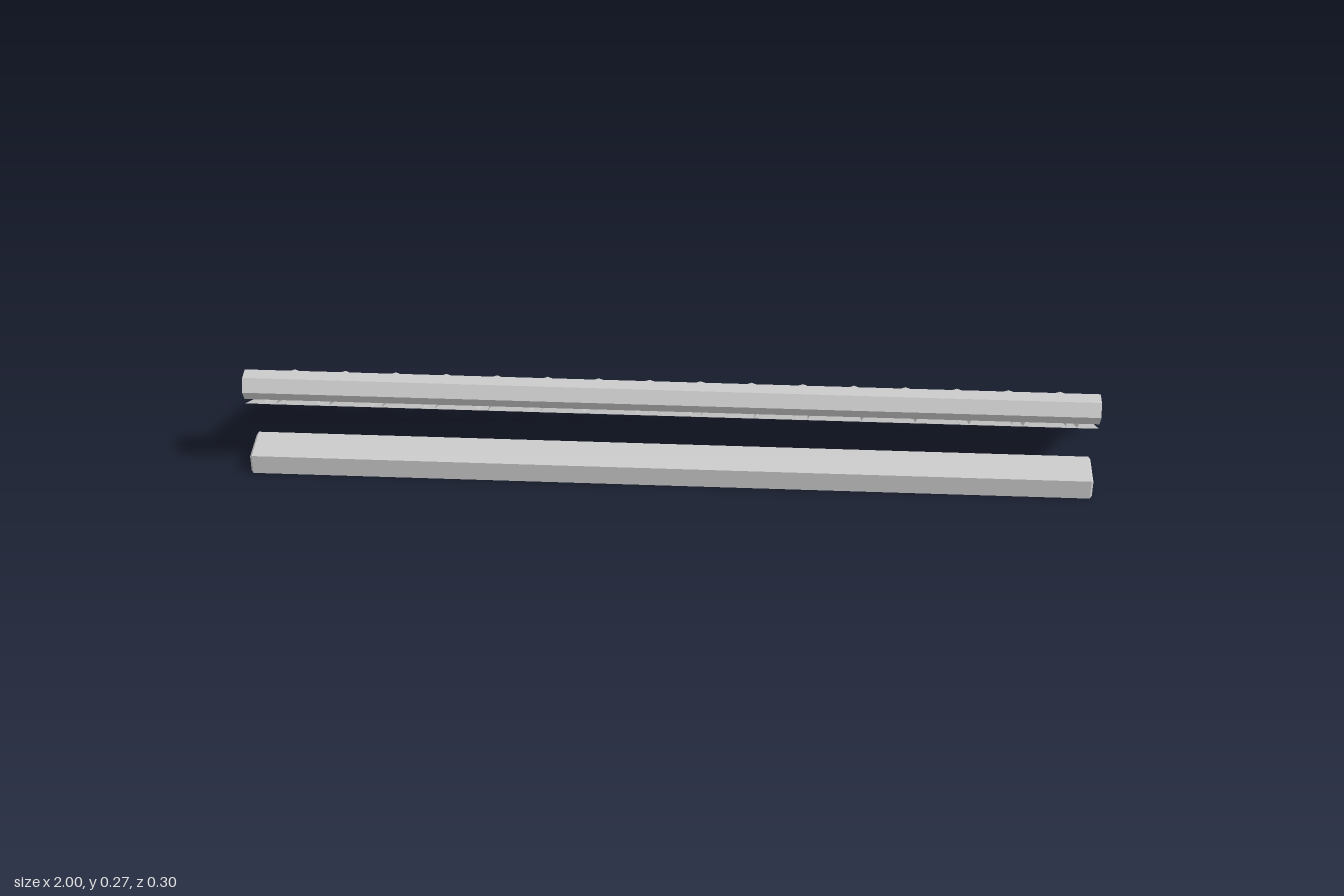
import * as THREE from 'three';

const solid = new THREE.MeshStandardMaterial({ color: 0xcccccc, flatShading: true });
const open = new THREE.MeshStandardMaterial({ color: 0xcccccc, flatShading: true, side: THREE.DoubleSide });

function add(parent, name, geometry, material, x, y, z) {
  const mesh = new THREE.Mesh(geometry, material);
  mesh.name = name;
  mesh.position.set(x, y, z);
  parent.add(mesh);
  return mesh;
}

// Box running along x with chamfered edges
function chamferedBeam(length, height, depth, c) {
  const w = depth / 2 - c, h = height / 2 - c;
  const shape = new THREE.Shape([
    new THREE.Vector2(-w, -h), new THREE.Vector2(w, -h),
    new THREE.Vector2(w, h), new THREE.Vector2(-w, h),
  ]);
  const geometry = new THREE.ExtrudeGeometry(shape, {
    depth: length - 2 * c, bevelEnabled: true, bevelSegments: 1, bevelSize: c, bevelThickness: c,
  });
  return geometry.center().rotateY(Math.PI / 2);
}

export function createModel() {
  const model = new THREE.Group();
  model.name = 'eaveRoof';

  // Beams
  add(model, 'wallBeam', chamferedBeam(2, 0.05, 0.099, 0.005), solid, 0, 0.025, 0.0975);
  add(model, 'eaveBeam', new THREE.BoxGeometry(2, 0.029, 0.021), solid, 0, 0.0355, -0.1175);

  // Hollow six-sided ridge
  const ridge = new THREE.CylinderGeometry(0.035, 0.035, 2, 6, 1, true).rotateZ(Math.PI / 2);
  add(model, 'ridge', ridge, open, 0, 0.235, 0.113);

  // Sloping roof: local z runs up the slope, local y is its normal
  const slope = new THREE.Group();
  slope.name = 'roofSlope';
  slope.position.y = 0.142;
  slope.rotation.x = -0.515;
  model.add(slope);

  const sheet = new THREE.PlaneGeometry(2, 0.294).rotateX(-Math.PI / 2);
  add(slope, 'roofSheet', sheet, open, 0, 0, 0);
  add(slope, 'underSheet', sheet, open, 0, -0.021, -0.012);

  // Tile ribs, each closed by an upright disc at the eave
  const rib = new THREE.CylinderGeometry(0.022, 0.022, 0.293, 6, 1, true)
    .rotateY(Math.PI / 2).rotateX(Math.PI / 2);
  const disc = new THREE.CylinderGeometry(0.03, 0.03, 0.011, 8).rotateX(Math.PI / 2);
  for (let i = 0; i < 16; i++) {
    const x = -0.9375 + i * 0.125;
    add(slope, 'tileRib', rib, open, x, 0, -0.005);
    add(model, 'endDisc', disc, solid, x, 0.0695, -0.1425);
  }
  return model;
}
